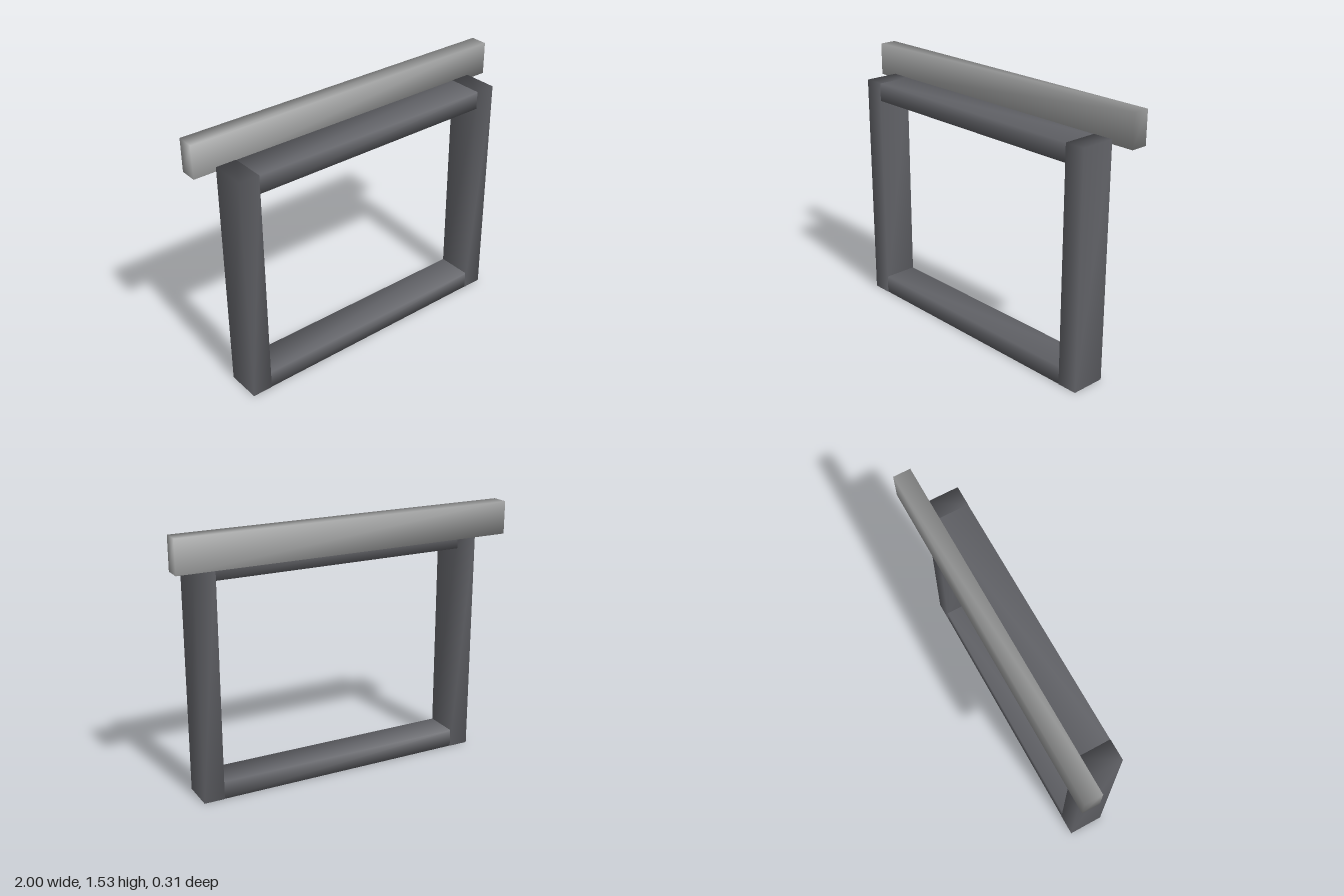
import * as THREE from 'three';
import { mergeVertices } from 'three/addons/utils/BufferGeometryUtils.js';

const frameMat = new THREE.MeshStandardMaterial({ color: 0x626368 });
const beamMat = new THREE.MeshStandardMaterial({ color: 0xa0a1a1 });

// Box between two corners, with normals blended softly across its edges
function softBox(name, [x0, y0, z0], [x1, y1, z1], material) {
  const box = new THREE.BoxGeometry(x1 - x0, y1 - y0, z1 - z0);
  box.deleteAttribute('normal');
  box.deleteAttribute('uv');
  const geometry = mergeVertices(box);
  geometry.computeVertexNormals();
  const mesh = new THREE.Mesh(geometry, material);
  mesh.name = name;
  mesh.position.set((x0 + x1) / 2, (y0 + y1) / 2, (z0 + z1) / 2);
  return mesh;
}

export function createModel() {
  const group = new THREE.Group();
  group.name = 'frameWithBeam';

  const back = -0.052, front = 0.153, height = 1.365;
  const inner = 0.75, outer = 0.87;
  const e = 0.001; // rails sit a hair inside the posts so no faces coincide

  // Upright posts
  group.add(softBox('leftPost', [inner, 0, back], [outer, height, front], frameMat));
  group.add(softBox('rightPost', [-outer, 0, back], [-inner, height, front], frameMat));

  // Rails running through the posts
  const rails = [['bottomRail', 0, 0.107], ['topRail', 1.258, height]];
  for (const [name, y0, y1] of rails) {
    group.add(softBox(name, [-outer + e, y0 + e, back + e], [outer - e, y1 - e, front - e], frameMat));
  }

  // Long beam fixed across the back of the top
  group.add(softBox('topBeam', [-1, 1.34, -0.153], [1, 1.53, back], beamMat));

  return group;
}
